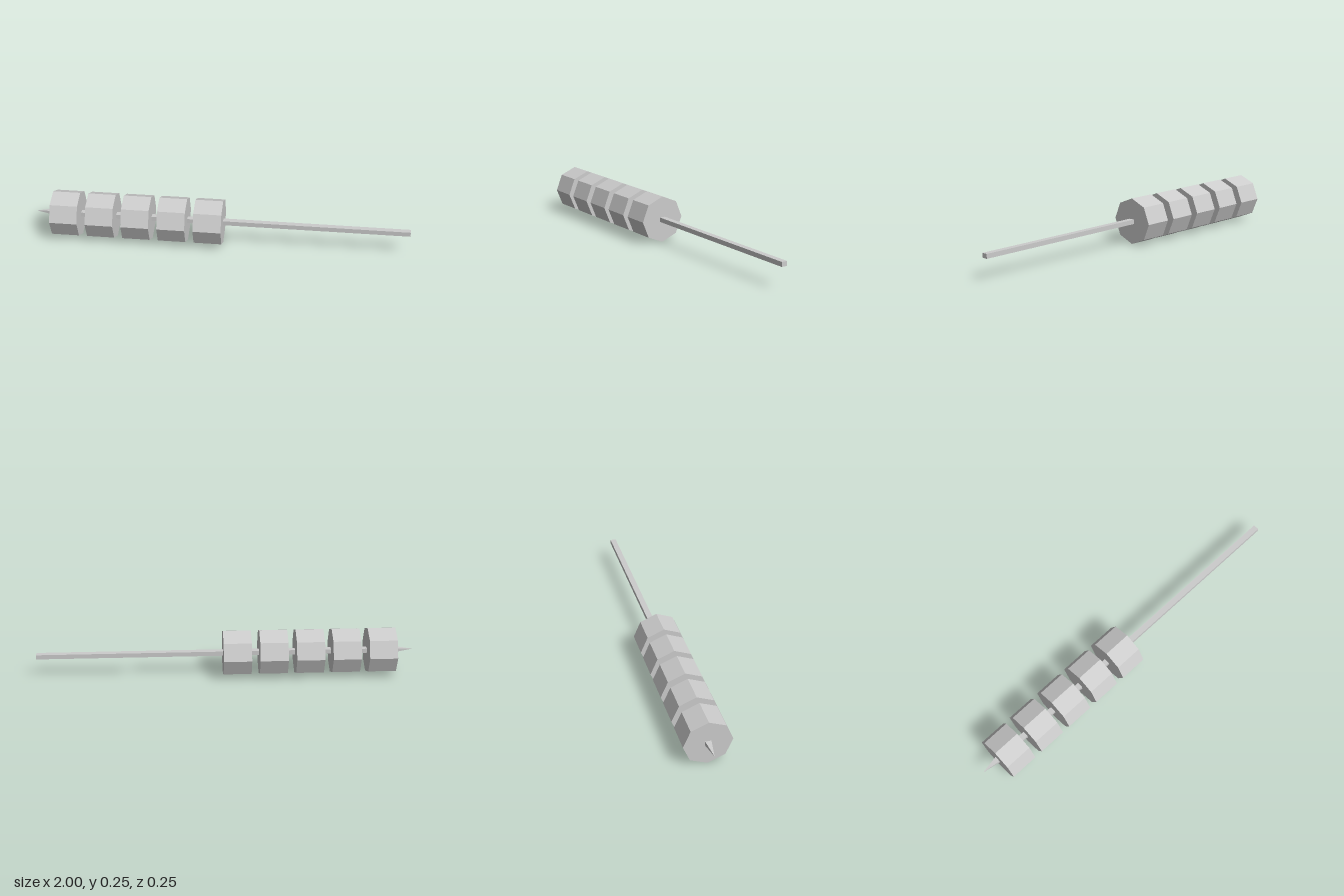
import * as THREE from 'three';

export function createModel() {
  const group = new THREE.Group();
  const grey = new THREE.MeshStandardMaterial({ color: 0xcccccc, flatShading: true });
  grey.name = 'grey';
  const axisY = 0.124;
  const rodHeight = 0.024, rodDepth = 0.031;

  const add = (name, geometry, x) => {
    const mesh = new THREE.Mesh(geometry, grey);
    mesh.name = name;
    mesh.position.set(x, axisY, 0);
    group.add(mesh);
  };

  // Five octagonal weights, a corner pointing straight up
  const weight = new THREE.CylinderGeometry(0.124, 0.124, 0.148, 8).rotateZ(Math.PI / 2);
  for (let i = 0; i < 5; i++) add(`weight${i + 1}`, weight, -0.827 + i * 0.192);

  // Square rod running through the weights
  add('rod', new THREE.BoxGeometry(1.9, rodHeight, rodDepth), 0.05);

  // Four-sided pointed tip
  const tip = new THREE.ConeGeometry(Math.SQRT1_2, 0.1, 4)
    .rotateY(Math.PI / 4)
    .rotateZ(Math.PI / 2)
    .scale(1, rodHeight, rodDepth);
  add('tip', tip, -0.95);

  return group;
}
